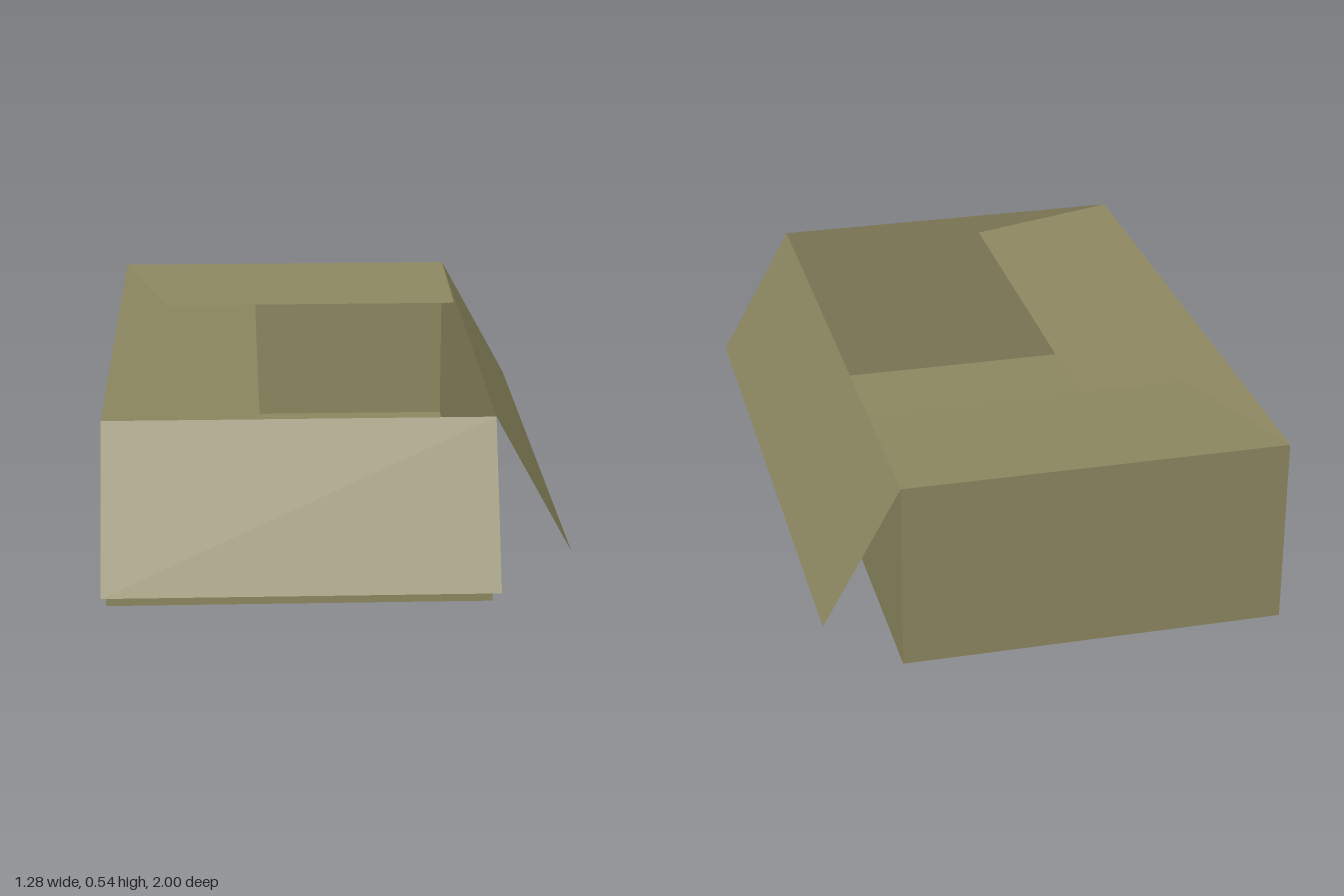
import * as THREE from 'three';

const LEFT = 0.425, RIGHT = -0.645, FRONT = 0.775, BACK = -1, TOP = 0.535;

export function createModel() {
  const box = new THREE.Group();
  box.name = 'openCardboardBox';
  const cardboard = new THREE.MeshStandardMaterial({ color: 0x8c8760, side: THREE.DoubleSide });
  cardboard.name = 'cardboard';

  // Flat four-cornered sheet, corners anticlockwise seen from its outer face
  function panel(name, ...corners) {
    const geometry = new THREE.BufferGeometry();
    geometry.setAttribute('position', new THREE.Float32BufferAttribute(corners.flat(), 3));
    geometry.setIndex([0, 1, 2, 0, 2, 3]);
    geometry.computeVertexNormals();
    const mesh = new THREE.Mesh(geometry, cardboard);
    mesh.name = name;
    box.add(mesh);
  }

  // Floor
  panel('floor', [RIGHT, 0, BACK], [LEFT, 0, BACK], [LEFT, 0, FRONT], [RIGHT, 0, FRONT]);

  // Each side has a wall between corners a and b, and a flap hinged on its top edge.
  // reach is how far the flap extends outwards (negative = folded in), drop how far it falls.
  const sides = [
    { name: 'front', a: [RIGHT, FRONT], b: [LEFT, FRONT], out: [0, 1], reach: 0.225, drop: 0.425 },
    { name: 'left', a: [LEFT, FRONT], b: [LEFT, BACK], out: [1, 0], reach: 0.215, drop: 0.39, shift: 0.005 },
    { name: 'back', a: [LEFT, BACK], b: [RIGHT, BACK], out: [0, -1], reach: -0.475, drop: 0.02 },
    { name: 'right', a: [RIGHT, BACK], b: [RIGHT, FRONT], out: [-1, 0], reach: -0.43, drop: 0.06 },
  ];
  for (const { name, a, b, out, reach, drop, shift = 0 } of sides) {
    const at = ([x, z], y) => [x, y, z];
    const tip = ([x, z]) => [x + out[0] * reach, TOP - drop, z + out[1] * reach + shift];
    panel(name + 'Wall', at(a, 0), at(b, 0), at(b, TOP), at(a, TOP));
    // Folding inwards reverses the sheet, so swap its ends to keep the upper face outside
    const [p, q] = reach > 0 ? [a, b] : [b, a];
    panel(name + 'Flap', tip(p), tip(q), at(q, TOP), at(p, TOP));
  }
  return box;
}
